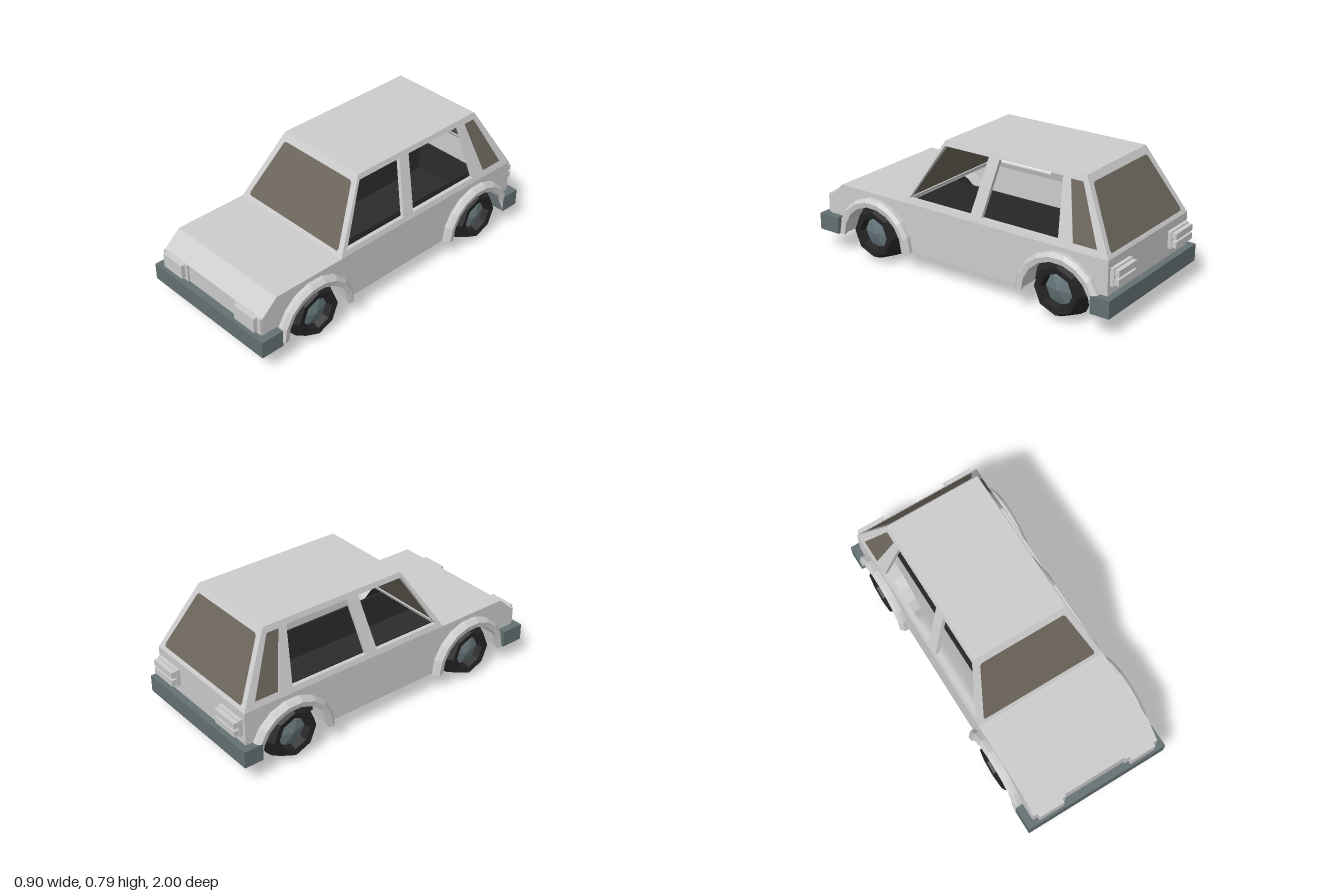
import * as THREE from 'three';

const mat = (name, color, side = THREE.DoubleSide) =>
  Object.assign(new THREE.MeshStandardMaterial({ color, flatShading: true, side }), { name });

export function createModel() {
  const paint = mat('body paint', 0xcccccc);
  const bumperGrey = mat('bumper grey', 0x647072);
  const glass = mat('tinted glass', 0x6b655b);
  const rubber = mat('tyre black', 0x242424);
  const dark = mat('interior black', 0x2c2c2c);
  const steel = mat('hub steel', 0x66767a);

  const car = new THREE.Group();
  car.name = 'car';
  const add = (name, geo, material) => {
    const mesh = new THREE.Mesh(geo, material);
    mesh.name = name;
    car.add(mesh);
    return mesh;
  };
  // Box from its lower and upper corner
  const box = (name, [x0, y0, z0], [x1, y1, z1], material) => {
    const geo = new THREE.BoxGeometry(Math.abs(x1 - x0), y1 - y0, Math.abs(z1 - z0));
    geo.translate((x0 + x1) / 2, (y0 + y1) / 2, (z0 + z1) / 2);
    return add(name, geo, material);
  };
  const poly = (pts, holes = []) => {
    const shape = new THREE.Shape(pts.map(p => new THREE.Vector2(...p)));
    holes.forEach(h => shape.holes.push(new THREE.Path(h.map(p => new THREE.Vector2(...p)))));
    return shape;
  };
  const extrude = (shape, depth) =>
    new THREE.ExtrudeGeometry(shape, { depth, bevelEnabled: false }).translate(0, 0, -depth / 2);
  // Shift vertices along one axis as a function of height
  const shear = (geo, axis, f) => {
    const p = geo.attributes.position;
    for (let i = 0; i < p.count; i++) p.setComponent(i, axis, p.getComponent(i, axis) + f(p.getY(i)));
    geo.computeVertexNormals();
    return geo;
  };
  // Extrusion of a (z, y) outline along x
  const sideways = (shape, depth) => extrude(shape, depth).rotateY(-Math.PI / 2);

  const BELT = 0.41, ROOF = 0.785;
  const slope = (a, b) => y => a + (b - a) * (y - BELT) / (ROOF - BELT);
  const axles = { front: 0.595, rear: -0.66 };

  // Bonnet and nose, rear panel, roof
  add('bonnetAndNose', sideways(poly([[0.4, 0.41], [0.85, 0.41], [0.95, 0.32], [0.95, 0.2],
    [0.93, 0.2], [0.93, 0.31], [0.84, 0.39], [0.4, 0.39]]), 0.808), paint);
  box('rearPanel', [-0.404, 0.2, -0.95], [0.404, 0.41, -0.93], paint);
  box('roof', [-0.29, 0.765, -0.74], [0.29, ROOF, 0.17], paint);

  // Lower side outline with wheel cut-outs
  const arc = (z, a0, a1) => Array.from({ length: 9 }, (_, i) => {
    const a = a0 + (a1 - a0) * i / 8;
    return [z + 0.23 * Math.cos(a), 0.12 + 0.23 * Math.sin(a)];
  });
  const lowerSide = poly([[-0.95, 0.41], [-0.95, 0.2], ...arc(axles.rear, Math.PI - 0.36, 0),
    ...arc(axles.front, Math.PI, 0.36), [0.95, 0.2], [0.95, 0.32], [0.85, 0.41]]);

  // Window frames of the sides: two open doors and a glazed quarter window
  const quarter = [[-0.65, 0.75], [-0.725, 0.75], [-0.875, 0.445], [-0.73, 0.445]];
  const sideFrame = poly([[0.4, BELT], [0.17, ROOF], [-0.74, ROOF], [-0.95, BELT]], [
    [[0.17, 0.755], [-0.13, 0.755], [-0.075, 0.44], [0.35, 0.44]],
    [[-0.2, 0.755], [-0.6, 0.755], [-0.64, 0.44], [-0.15, 0.44]],
    quarter,
  ]);
  for (const s of [1, -1]) {
    const side = s > 0 ? 'left' : 'right';
    const lean = slope(0.393, 0.278);
    add(side + 'LowerSide', sideways(lowerSide, 0.02).translate(s * 0.395, 0, 0), paint);
    add(side + 'WindowFrame', shear(sideways(sideFrame, 0.024), 0, y => s * lean(y)), paint);
    add(side + 'QuarterGlass', shear(sideways(poly(quarter), 0.008), 0, y => s * (lean(y) + 0.006)), glass);
  }

  // Windscreen and rear window
  const pane = [[-0.355, 0.43], [-0.36, 0.445], [-0.268, 0.735], [-0.255, 0.745],
    [0.255, 0.745], [0.268, 0.735], [0.36, 0.445], [0.355, 0.43]];
  const surround = poly([[-0.405, BELT], [-0.29, ROOF], [0.29, ROOF], [0.405, BELT]], [pane]);
  for (const [name, zLow, zHigh, dir] of [['windscreen', 0.4, 0.17, 1], ['rearWindow', -0.95, -0.74, -1]]) {
    const lean = slope(zLow - dir * 0.01, zHigh - dir * 0.01);
    add(name + 'Frame', shear(extrude(surround, 0.02), 2, lean), paint);
    add(name + 'Glass', shear(extrude(poly(pane), 0.008), 2, y => lean(y) + dir * 0.004), glass);
  }

  // Bumpers
  box('frontBumper', [-0.45, 0.115, 0.855], [0.45, 0.215, 0.995], bumperGrey);
  box('rearBumper', [-0.45, 0.115, -0.99], [0.45, 0.215, -0.875], bumperGrey);

  // Floor tub
  box('floor', [-0.222, 0.085, -0.86], [0.222, 0.12, 0.83], dark);
  for (const s of [1, -1]) box('tubSide', [s * 0.21, 0.12, -0.86], [s * 0.222, 0.32, 0.83], dark);
  box('tubRear', [-0.222, 0.12, -0.86], [0.222, 0.32, -0.848], dark);
  box('tubFront', [-0.222, 0.12, 0.818], [0.222, 0.32, 0.83], dark);

  // Lamps
  for (const s of [1, -1]) {
    box('headlampFrame', [s * 0.197, 0.22, 0.94], [s * 0.404, 0.322, 0.962], paint);
    box('headlamp', [s * 0.22, 0.235, 0.95], [s * 0.377, 0.322, 0.985], paint);
    box('tailLampBase', [s * 0.2, 0.265, -0.972], [s * 0.385, 0.365, -0.94], paint);
    for (const y of [0.273, 0.322])
      box('tailLampBar', [s * 0.205, y, -1], [s * 0.38, y + 0.036, -0.965], paint);
  }

  // Turned parts about the x axis; profile is [radius, distance from the centre line]
  const turned = (profile, sides, s, half) => new THREE.LatheGeometry(
    profile.map(p => new THREE.Vector2(...p)), sides, half && s > 0 ? Math.PI : 0, half ? Math.PI : Math.PI * 2,
  ).rotateZ(-s * Math.PI / 2);

  for (const [axle, z] of Object.entries(axles)) {
    for (const s of [1, -1]) {
      const name = axle + (s > 0 ? 'Left' : 'Right');
      // Flared arch with its inner liner
      add(name + 'Arch', turned([[0.23, 0.295], [0.23, 0.4], [0.215, 0.445], [0.245, 0.45],
        [0.265, 0.43], [0.265, 0.4]], 9, s, true).translate(0, 0.12, z), paint);
      add(name + 'Tyre', turned([[0, 0.34], [0.1, 0.33], [0.172, 0.33], [0.165, 0.38], [0.135, 0.44],
        [0.1, 0.435], [0.088, 0.395]], 8, s, false).translate(0, 0.172, z), rubber);
      add(name + 'Hub', turned([[0.098, 0.395], [0.07, 0.405], [0, 0.425]], 6, s, false)
        .translate(0, 0.172, z), steel);
    }
  }
  return car;
}
